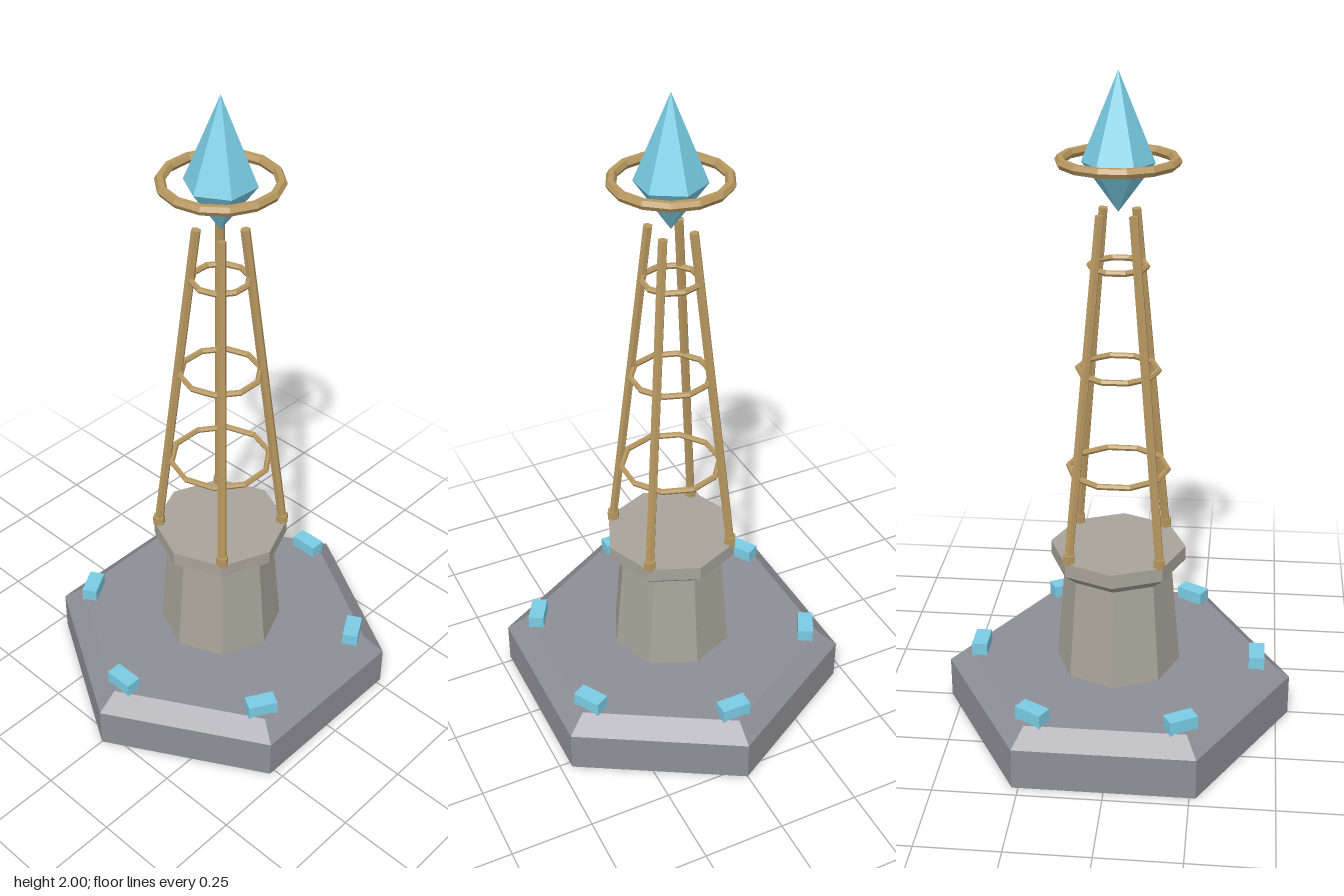
import * as THREE from 'three';

const material = (color) => new THREE.MeshStandardMaterial({ color, flatShading: true });

export function createModel() {
  const model = new THREE.Group();
  const stone = material(0x8e8e96);
  const paleStone = material(0xa8a49a);
  const brass = material(0xb89860);
  const crystal = material(0x7accE4);

  const add = (name, geometry, mat, parent = model) => {
    const mesh = new THREE.Mesh(geometry, mat);
    mesh.name = name;
    parent.add(mesh);
    return mesh;
  };
  // Faceted solid from [radius, height] pairs, with a corner on the x axis
  const faceted = (points, sides) => new THREE.LatheGeometry(
    points.map(([r, y]) => new THREE.Vector2(r, y)), sides, Math.PI / 2);
  // Horizontal ring
  const ring = (name, y, radius, tube, tubeSides, segments) => {
    const geometry = new THREE.TorusGeometry(radius, tube, tubeSides, segments);
    geometry.rotateX(Math.PI / 2);
    add(name, geometry, brass).position.y = y;
  };

  // Hexagonal plinth with a bevelled top
  add('plinth', faceted([[0, 0], [0.538, 0], [0.538, 0.13], [0.475, 0.18], [0, 0.18]], 6), stone);

  // Octagonal pedestal with a flared cap
  add('pedestal', faceted([[0, 0.17], [0.193, 0.17], [0.165, 0.495], [0.206, 0.53],
    [0.206, 0.574], [0, 0.574]], 8), paleStone);

  // Marker lights around the plinth
  for (let i = 0; i < 6; i++) {
    const angle = i * Math.PI / 3;
    const light = add('markerLight', new THREE.BoxGeometry(0.048, 0.045, 0.09), crystal);
    light.position.set(0.434 * Math.cos(angle), 0.197, -0.434 * Math.sin(angle));
    light.rotation.y = angle;
  }

  // Four leaning legs, each with a small foot
  const up = new THREE.Vector3(0, 1, 0);
  for (const sx of [-1, 1]) {
    for (const sz of [-1, 1]) {
      const leg = new THREE.Group();
      leg.name = 'mastLeg';
      model.add(leg);
      const bottom = new THREE.Vector3(sx * 0.136, 0.575, sz * 0.136);
      const top = new THREE.Vector3(sx * 0.047, 1.61, sz * 0.047);
      const direction = top.clone().sub(bottom);
      const pole = add('pole', new THREE.CylinderGeometry(0.014, 0.014, direction.length(), 6), brass, leg);
      pole.position.copy(bottom).add(top).multiplyScalar(0.5);
      pole.quaternion.setFromUnitVectors(up, direction.normalize());
      const foot = add('foot', new THREE.CylinderGeometry(0.019, 0.019, 0.03, 6), brass, leg);
      foot.position.set(sx * 0.135, 0.585, sz * 0.135);
    }
  }

  // Bracing rings, shrinking upwards
  for (const [y, radius] of [[0.83, 0.149], [1.143, 0.118], [1.455, 0.082]]) {
    ring('braceRing', y, radius, 0.009, 6, 10);
  }

  // Floating crystal and its halo
  add('crystal', faceted([[0, 1.61], [0.103, 1.75], [0, 2]], 6), crystal);
  ring('haloRing', 1.755, 0.162, 0.015, 6, 14);

  return model;
}
